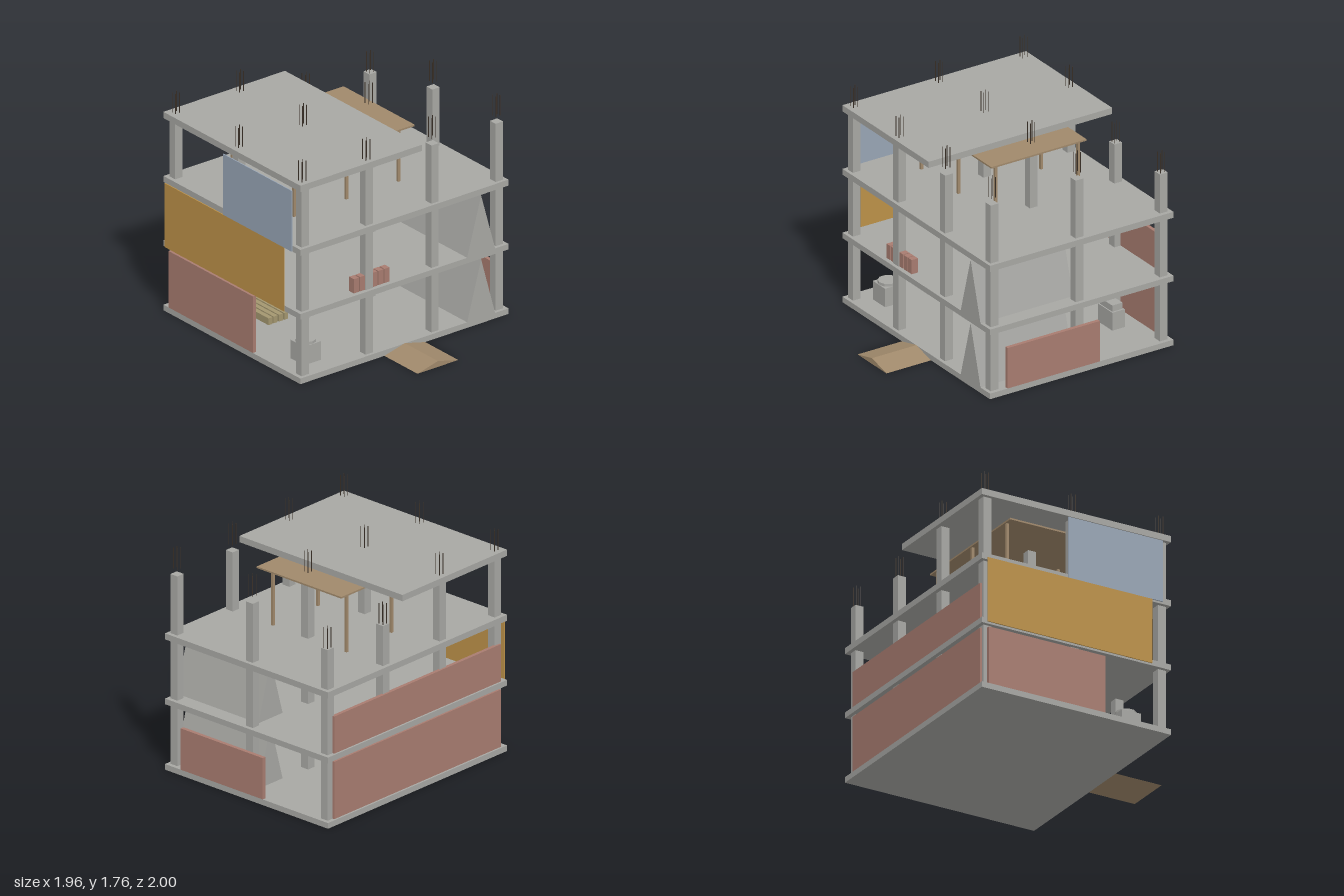
import * as THREE from 'three';

const mat = (name, color) => {
  const m = new THREE.MeshStandardMaterial({ color });
  m.name = name;
  return m;
};

export function createModel() {
  const model = new THREE.Group();
  model.name = 'unfinishedBuilding';
  const concrete = mat('concrete', 0xa7a7a3);
  const brick = mat('brick', 0xa87c70);
  const wood = mat('wood', 0xa0896b);
  const timber = mat('paleTimber', 0xa3966f);
  const ochre = mat('ochreSheet', 0xbc9148);
  const blue = mat('blueSheet', 0x98a5b5);
  const steel = mat('rebarSteel', 0x3b3128);

  const add = (name, geometry, material) => {
    const mesh = new THREE.Mesh(geometry, material);
    mesh.name = name;
    model.add(mesh);
    return mesh;
  };
  // Box given by its extents on each axis
  const box = (name, material, [x0, x1], [y0, y1], [z0, z1]) => {
    const mesh = add(name, new THREE.BoxGeometry(x1 - x0, y1 - y0, z1 - z0), material);
    mesh.position.set((x0 + x1) / 2, (y0 + y1) / 2, (z0 + z1) / 2);
    return mesh;
  };
  // Triangular prism with its ridge running along z
  const prism = (name, material, [x0, x1], [y0, y1], [z0, z1]) => {
    const s = new THREE.Shape([
      new THREE.Vector2(x0, y0), new THREE.Vector2(x1, y0), new THREE.Vector2((x0 + x1) / 2, y1),
    ]);
    const g = new THREE.ExtrudeGeometry(s, { depth: z1 - z0, bevelEnabled: false });
    add(name, g.translate(0, 0, z0), material);
  };

  // Floor slabs and the partial roof slab
  const slabX = [-0.96, 0.975], slabZ = [-1, 0.61];
  box('groundSlab', concrete, slabX, [0, 0.045], slabZ);
  box('firstFloorSlab', concrete, slabX, [0.52, 0.565], slabZ);
  box('secondFloorSlab', concrete, slabX, [1.035, 1.083], slabZ);
  box('roofSlab', concrete, [-0.96, 0.17], [1.55, 1.6], slabZ);

  // Columns on every storey, each with four bars above it
  const h = 0.034;
  for (const x of [-0.895, -0.3, 0.312, 0.91]) {
    for (const z of [-0.935, -0.195, 0.55]) {
      const open = x > 0.17;
      const shortened = open && z < -0.5;
      const underDeck = open && x < 0.5 && z > -0.5 && z < 0;
      const top = shortened ? 1.4 : underDeck ? 1.54 : 1.552;
      for (const [y0, y1] of [[0.045, 0.52], [0.565, 1.035], [1.083, top]]) {
        box('column', concrete, [x - h, x + h], [y0, y1], [z - h, z + h]);
      }
      const bar0 = shortened ? 1.4 : 1.6;
      for (const dx of [-0.019, 0.019]) {
        for (const dz of [-0.019, 0.019]) {
          const bar = add('rebar', new THREE.CylinderGeometry(0.003, 0.003, 0.165, 6), steel);
          bar.position.set(x + dx, bar0 + 0.08, z + dz);
        }
      }
    }
  }

  // Brick walls
  box('groundBackWall', brick, [-0.91, 0.89], [0.045, 0.5], [-0.985, -0.957]);
  box('firstFloorBackWall', brick, [-0.91, 0.89], [0.565, 0.86], [-0.985, -0.957]);
  box('groundSideWall', brick, [-0.96, -0.932], [0.045, 0.5], [-0.94, 0.05]);
  box('lowSideWall', brick, [0.945, 0.975], [0.045, 0.373], [-0.355, 0.455]);

  // Hanging protective sheets
  box('ochreSheet', ochre, [-0.98, -0.972], [0.53, 1.045], [-0.96, 0.44]);
  box('blueSheet', blue, [-0.98, -0.972], [1.045, 1.535], [-0.275, 0.53]);

  // Stair blocks and the entrance ramp
  prism('groundStair', concrete, [0.59, 0.85], [0.045, 0.515], [-0.2, 0.61]);
  prism('firstFloorStair', concrete, [0.59, 0.85], [0.565, 1.03], [-0.2, 0.61]);
  prism('entranceRamp', wood, [-0.18, 0.2], [0, 0.047], [0.61, 1]);

  // Formwork deck on props
  box('formworkDeck', wood, [-0.72, 0.41], [1.535, 1.548], [-0.615, 0.22]);
  for (const x of [-0.64, -0.155, 0.33]) {
    for (const z of [-0.595, 0.132]) {
      box('formworkProp', wood, [x - 0.011, x + 0.011], [1.083, 1.535], [z - 0.01, z + 0.01]);
    }
  }

  // Brick stacks by the front edge of the first floor
  for (let i = 0; i < 6; i++) {
    const x = -0.435 + i * 0.0567;
    box('brickStack', brick, [x, x + 0.047], [0.565, 0.68], [0.52, 0.575]);
  }

  // Timber bundle on the ground floor
  for (let i = 0; i < 4; i++) {
    const x = -0.577 + i * 0.049;
    box('timberBeam', timber, [x, x + 0.037], [0.045, 0.1], [-0.835, -0.25]);
  }

  // Water tank with a round lid
  box('tankBody', concrete, [-0.8, -0.64], [0.045, 0.195], [0.29, 0.45]);
  const lid = add('tankLid',
    new THREE.CylinderGeometry(0.078, 0.078, 0.022, 10).toNonIndexed(), concrete);
  lid.geometry.computeVertexNormals();
  lid.position.set(-0.72, 0.205, 0.37);

  // Machine with a raised housing
  box('machineBody', concrete, [0.43, 0.62], [0.055, 0.2], [-0.81, -0.7]);
  box('machineHousing', concrete, [0.445, 0.605], [0.2, 0.25], [-0.8, -0.71]);

  return model;
}
